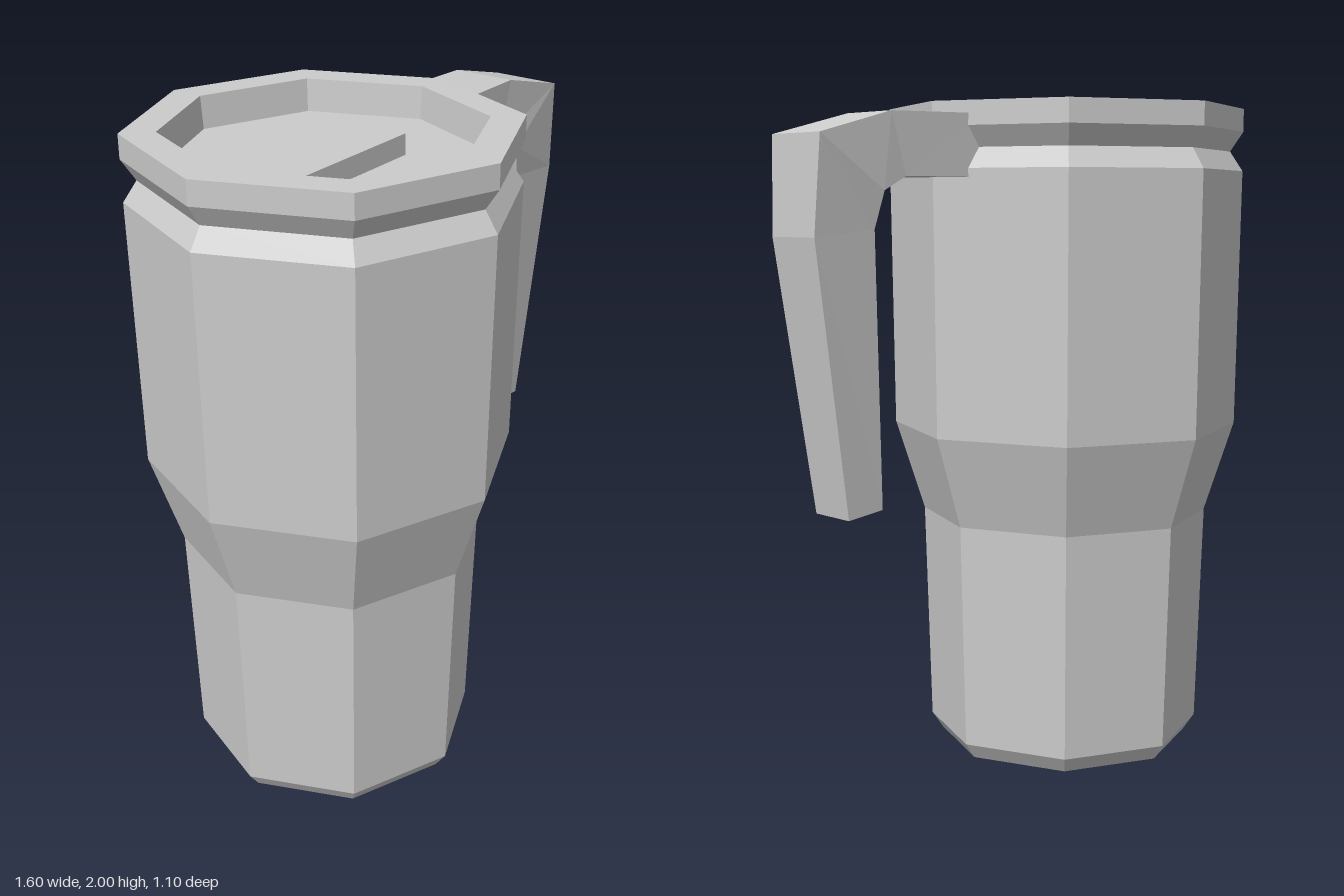
import * as THREE from 'three';

const SIDES = 8;
const AXIS_X = -0.25; // the cup sits left of centre so the handle fits the frame

// Loft of four-cornered sections: [outerX, outerY, innerX, innerY, halfWidth]
function loft(stations) {
  const rings = stations.map(([ox, oy, ix, iy, w]) => [[ox, oy, w], [ox, oy, -w], [ix, iy, -w], [ix, iy, w]]);
  const pos = [];
  const quad = (a, b, c, d) => pos.push(...a, ...b, ...c, ...a, ...c, ...d);
  for (let i = 0; i < rings.length - 1; i++) {
    const s = rings[i], t = rings[i + 1];
    for (let k = 0; k < 4; k++) {
      const n = (k + 1) % 4;
      quad(s[k], t[k], t[n], s[n]);
    }
  }
  const first = rings[0], last = rings[rings.length - 1];
  quad(first[0], first[1], first[2], first[3]);
  quad(last[3], last[2], last[1], last[0]);
  const g = new THREE.BufferGeometry();
  g.setAttribute('position', new THREE.Float32BufferAttribute(pos, 3));
  g.computeVertexNormals();
  return g;
}

export function createModel() {
  const model = new THREE.Group();
  model.name = 'travelMug';
  const material = new THREE.MeshStandardMaterial({ color: 0xcccccc, flatShading: true });
  const add = (name, geometry, x = 0, y = 0, z = 0) => {
    const mesh = new THREE.Mesh(geometry, material);
    mesh.name = name;
    mesh.position.set(x, y, z);
    model.add(mesh);
  };
  const turned = (points) => new THREE.LatheGeometry(points.map(([r, y]) => new THREE.Vector2(r, y)), SIDES);

  // Tapered cup with a bevelled foot and a flared upper half
  add('cup', turned([[0, 0], [0.395, 0], [0.43, 0.05], [0.45, 0.74], [0.54, 1.02], [0.55, 1.81], [0.51, 1.87]]), AXIS_X);

  // Lid: pinched collar, rim and recessed floor
  add('lid', turned([[0.51, 1.87], [0.55, 1.93], [0.55, 2], [0.45, 2], [0.443, 1.905], [0, 1.905]]), AXIS_X);

  // Sliding tab in the lid, running into the rim
  const tabLeft = -0.69, tabRight = -0.1;
  add('lidSlider', new THREE.BoxGeometry(tabRight - tabLeft, 0.07, 0.31), (tabLeft + tabRight) / 2, 1.93, 0);

  // Open hooked handle, narrowing to its lower end
  add('handle', loft([
    [0.205, 1.965, 0.18, 1.785, 0.107],
    [0.53, 1.96, 0.48, 1.785, 0.097],
    [0.78, 1.895, 0.565, 1.745, 0.107],
    [0.795, 1.62, 0.592, 1.64, 0.095],
    [0.68, 0.84, 0.56, 0.855, 0.075],
  ]));

  return model;
}
